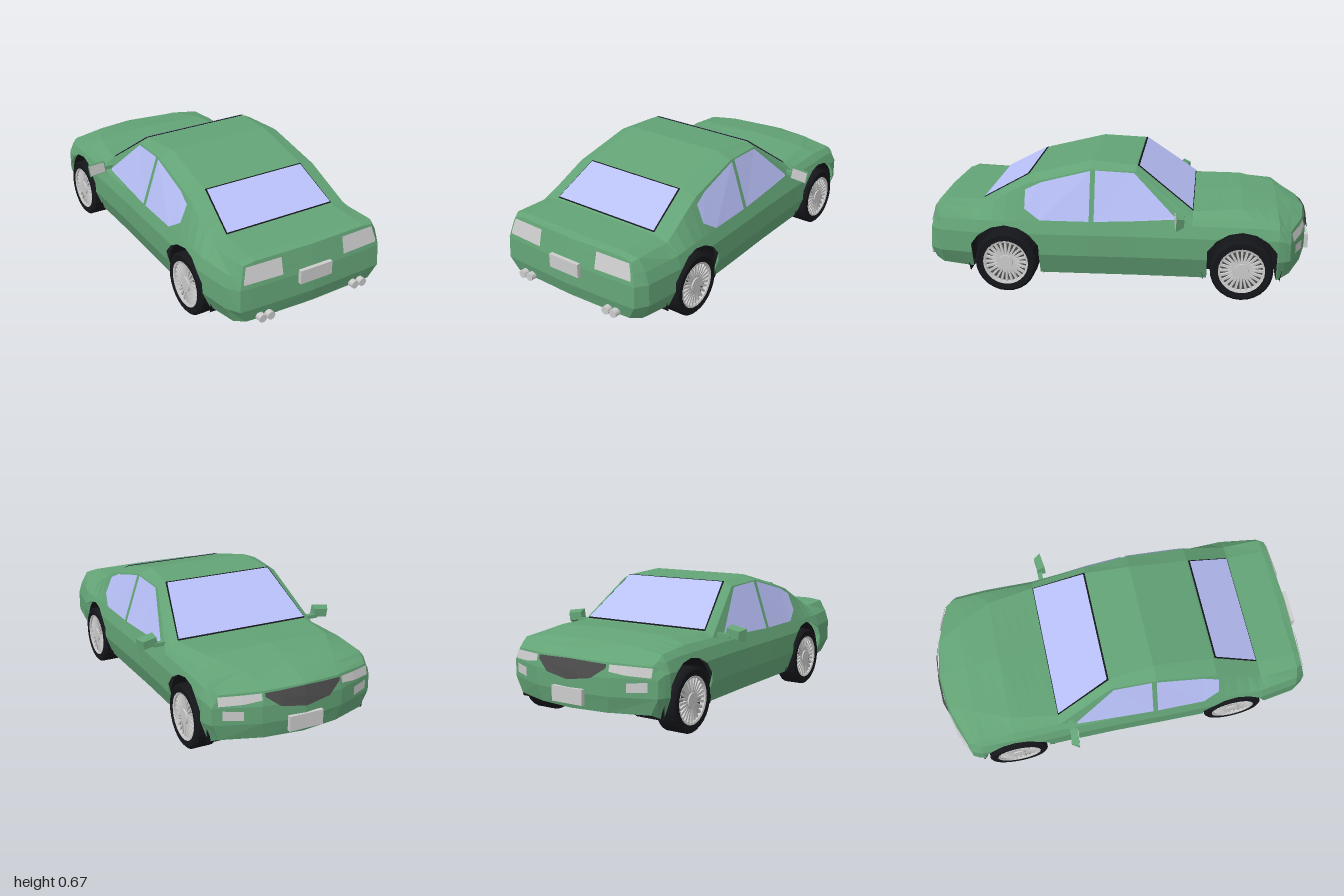
import * as THREE from 'three';

const mat = (color) => new THREE.MeshStandardMaterial({ color, flatShading: true, side: THREE.DoubleSide });
const paint = mat(0x63a376), glass = mat(0xb8c0f8), grey = mat(0xcccccc);
const black = mat(0x15161a), dark = mat(0x4c4c4c);
const V = (x, y, z) => new THREE.Vector3(x, y, z);
const clamp = THREE.MathUtils.clamp, lerp = THREE.MathUtils.lerp;

// Stations along the car: z, half width, sill y, edge x/y, inner x/y, centre y
const STATIONS = [
  [-0.99, 0.43, 0.13, 0.40, 0.355, 0.20, 0.365, 0.37],
  [-0.92, 0.445, 0.115, 0.41, 0.375, 0.215, 0.395, 0.40],
  [-0.82, 0.455, 0.10, 0.41, 0.40, 0.25, 0.425, 0.43],
  [-0.64, 0.46, 0.10, 0.41, 0.415, 0.33, 0.445, 0.457],
  [-0.39, 0.455, 0.10, 0.41, 0.41, 0.37, 0.435, 0.435],
  [-0.10, 0.455, 0.10, 0.345, 0.628, 0.30, 0.65, 0.65],
  [0.13, 0.46, 0.10, 0.355, 0.637, 0.28, 0.665, 0.665],
  [0.45, 0.465, 0.10, 0.37, 0.56, 0.285, 0.585, 0.585],
  [0.70, 0.47, 0.12, 0.39, 0.43, 0.31, 0.45, 0.45],
  [0.90, 0.44, 0.13, 0.385, 0.44, 0.31, 0.45, 0.45],
  [0.98, 0.40, 0.14, 0.37, 0.43, 0.31, 0.44, 0.44],
];
const WHEEL_Z = [-0.64, 0.56], WHEEL_Y = 0.158, ARCH_R = 0.2;

// Half section at z, from the sill up to the centre line
function section(z) {
  let i = 0;
  while (i < STATIONS.length - 2 && z > STATIONS[i + 1][0]) i++;
  const a = STATIONS[i], b = STATIONS[i + 1], t = (z - a[0]) / (b[0] - a[0]);
  const [, w, y0, ex, ey, ix, iy, cy] = a.map((v, k) => lerp(v, b[k], t));
  const belt = Math.min(0.38, ey - 0.03);
  return [[w - 0.04, y0], [w, 0.21], [w, Math.min(0.32, belt - 0.03)], [w * 0.955, belt],
    [ex, ey], [ix, iy], [0, cy]];
}

function xAt(pts, y) {
  let i = 0;
  while (i < pts.length - 2 && y > pts[i + 1][1]) i++;
  const [a, b] = [pts[i], pts[i + 1]];
  return lerp(a[0], b[0], (y - a[1]) / (b[1] - a[1]));
}

// Rounds nose and tail in plan and in profile
function bent(x, y, z) {
  const f = z < 0 ? clamp((-z - 0.82) / 0.17, 0, 1) : clamp((z - 0.9) / 0.08, 0, 1);
  const bow = (z < 0 ? 0.11 : 0.02) * (x / 0.43) ** 2 + 0.25 * Math.max(0, Math.abs(y - 0.25) - 0.04);
  return V(x, y, z - Math.sign(z) * f * bow);
}

// Surface through a grid of points
function surface(grid) {
  const pos = [];
  for (let i = 0; i < grid.length - 1; i++) {
    for (let j = 0; j < grid[i].length - 1; j++) {
      const a = grid[i][j], b = grid[i][j + 1], c = grid[i + 1][j + 1], d = grid[i + 1][j];
      for (const p of [a, b, c, a, c, d]) pos.push(p.x, p.y, p.z);
    }
  }
  const g = new THREE.BufferGeometry();
  g.setAttribute('position', new THREE.Float32BufferAttribute(pos, 3));
  g.computeVertexNormals();
  return g;
}

function add(parent, name, geometry, material, x = 0, y = 0, z = 0) {
  const m = new THREE.Mesh(geometry, material);
  m.name = name;
  m.position.set(x, y, z);
  parent.add(m);
  return m;
}

function addBody(car) {
  const archAt = (z) => {
    const c = WHEEL_Z.find((v) => Math.abs(z - v) < 0.174);
    return c === undefined ? 0 : WHEEL_Y + Math.sqrt(ARCH_R ** 2 - (z - c) ** 2);
  };
  const zs = STATIONS.map((s) => s[0]);
  for (const c of WHEEL_Z) {
    zs.push(c - 0.1745, c + 0.1745);
    for (let a = 30; a <= 150; a += 20) zs.push(c + ARCH_R * Math.cos(a * Math.PI / 180));
  }
  zs.sort((a, b) => a - b);

  // Shell with the wheel arches cut out, and the floor between the sills
  const shell = [], floor = [];
  for (const z of zs) {
    const pts = section(z), arch = archAt(z);
    const half = pts.map(([x, y]) => (y < arch ? [xAt(pts, arch), arch] : [x, y]));
    const left = half.map(([x, y]) => bent(x, y, z));
    const right = half.slice(0, -1).reverse().map(([x, y]) => bent(-x, y, z));
    shell.push([...left, ...right]);
    const fx = arch ? 0.27 : pts[0][0];
    floor.push([bent(-fx, pts[0][1], z), bent(fx, pts[0][1], z)]);
  }
  add(car, 'bodyShell', surface(shell), paint);
  add(car, 'floor', surface(floor), black);
  add(car, 'underTray', new THREE.BoxGeometry(0.53, 0.03, 1.5), black, 0, 0.1, -0.02);

  // Nose and tail faces
  for (const [name, z] of [['nosePanel', -0.99], ['tailPanel', 0.98]]) {
    const pts = section(z), f = pts[5][0] / pts[4][0];
    const cols = z < 0 ? [-1, -f, 0, f, 1] : [1, f, 0, -f, -1];
    const rows = pts.slice(0, 5).map(([x, y], k) => cols.map((c) => {
      const top = Math.abs(c) === 1 ? y : c ? pts[5][1] : pts[6][1];
      return bent(c * x, k === 4 ? top : y, z);
    }));
    add(car, name, surface(rows.reverse()), paint);
  }

  // Wheel wells
  for (const z of WHEEL_Z) {
    for (const s of [1, -1]) {
      const liner = new THREE.CylinderGeometry(ARCH_R, ARCH_R, 0.165, 18, 1, true, -0.3, Math.PI + 0.6);
      add(car, 'wheelWell', liner.rotateZ(Math.PI / 2), black, s * 0.352, WHEEL_Y, z);
      const wall = new THREE.CircleGeometry(ARCH_R, 18, -0.3, Math.PI + 0.6);
      add(car, 'wheelWellWall', wall.rotateY(Math.PI / 2), black, s * 0.27, WHEEL_Y, z);
    }
  }
}

function addGlass(car) {
  // Side windows: columns of z, bottom y, top y laid on the shell
  const sides = {
    rearSideWindow: [[0.46, 0.44, 0.53], [0.38, 0.387, 0.567], [0.13, 0.387, 0.63]],
    frontSideWindow: [[0.105, 0.387, 0.632], [-0.09, 0.395, 0.622], [-0.30, 0.408, 0.42]],
  };
  for (const [name, cols] of Object.entries(sides)) {
    for (const s of [1, -1]) {
      add(car, name, surface(cols.map(([z, lo, hi]) =>
        [lo, hi].map((y) => V(s * (xAt(section(z), y) + 0.005), y + 0.001, z)))), glass);
    }
  }
  // Windscreen and rear window, each over a dark seal
  const screen = (name, z0, z1, x0, x1, dz) => {
    const layer = (grow, lift) => surface([[z0, x0, -1], [z1, x1, 1]].map(([z, x, e]) => {
      const zz = z + e * Math.sign(z1 - z0) * grow;
      return [1, -1].map((s) => V(s * (x + grow), section(zz)[6][1] + lift, zz + dz * lift));
    }));
    add(car, name + 'Seal', layer(0.006, 0.003), black);
    add(car, name, layer(0, 0.006), glass);
  };
  screen('windscreen', -0.108, -0.382, 0.297, 0.362, -1);
  screen('rearWindow', 0.46, 0.685, 0.278, 0.303, 1);
}

function addTrim(car) {
  // Patches on the nose or tail: columns of x, bottom y, top y
  const patch = (name, cols, z, material, s = 1) => add(car, name,
    surface(cols.map(([x, lo, hi]) => [lo, (lo + hi) / 2, hi].map((y) =>
      bent(s * x, y, z).add(V(0, 0, Math.sign(z) * 0.006))))), material);
  for (const s of [1, -1]) {
    patch('headlight', [[0.215, 0.325, 0.357], [0.3, 0.312, 0.354], [0.405, 0.305, 0.348]], -0.99, grey, s);
    patch('fogLight', [[0.3, 0.235, 0.28], [0.39, 0.24, 0.285]], -0.99, grey, s);
    patch('tailLight', [[0.175, 0.345, 0.428], [0.362, 0.345, 0.425], [0.38, 0.345, 0.36]], 0.98, grey, s);
    for (const x of [0.247, 0.293]) {
      const pipe = new THREE.CylinderGeometry(0.021, 0.021, 0.13, 12).rotateX(Math.PI / 2);
      add(car, 'exhaustPipe', pipe, grey, s * x, 0.157, 0.925);
    }
  }
  patch('grille', [[-0.2, 0.34, 0.357], [-0.13, 0.29, 0.361], [0, 0.27, 0.366],
    [0.13, 0.29, 0.361], [0.2, 0.34, 0.357]], -0.99, dark);
  add(car, 'frontPlate', new THREE.BoxGeometry(0.18, 0.075, 0.02), grey, 0, 0.195, -0.99);
  add(car, 'rearPlate', new THREE.BoxGeometry(0.18, 0.07, 0.02), grey, 0, 0.31, 0.982);

  // Door mirrors
  for (const s of [1, -1]) {
    const mirror = new THREE.Group();
    mirror.name = 'doorMirror';
    const shape = new THREE.BoxGeometry(0.095, 0.068, 0.04);
    const p = shape.attributes.position;
    for (let i = 0; i < p.count; i++) {
      if (p.getZ(i) < 0) p.setXY(i, p.getX(i) * 0.8 - s * 0.008, p.getY(i) * 0.6);
    }
    add(mirror, 'mirrorHousing', shape, paint);
    add(mirror, 'mirrorGlass', new THREE.BoxGeometry(0.084, 0.058, 0.004), grey, 0, 0, 0.02);
    mirror.position.set(s * 0.506, 0.43, -0.328);
    mirror.rotation.set(0, s * 0.12, -s * 0.14);
    car.add(mirror);
    add(car, 'mirrorArm', new THREE.BoxGeometry(0.07, 0.02, 0.025), paint, s * 0.442, 0.417, -0.335);
  }
}

// Wheel built along y, with its outer face at +y
function makeWheel() {
  const wheel = new THREE.Group();
  wheel.name = 'wheel';
  const lathe = (pts) => new THREE.LatheGeometry(pts.map(([r, y]) => new THREE.Vector2(r, y)), 28);
  add(wheel, 'tyre', lathe([[0.116, -0.055], [0.147, -0.058], [0.158, -0.048], [0.158, 0.048],
    [0.147, 0.058], [0.116, 0.055], [0.116, -0.055]]), black);
  add(wheel, 'rimRing', lathe([[0.117, 0.03], [0.117, 0.057], [0.107, 0.054], [0.107, 0.03]]), grey);
  add(wheel, 'rimBack', lathe([[0, 0.03], [0.115, 0.03]]), dark);
  add(wheel, 'innerRim', lathe([[0, -0.01], [0.09, -0.01], [0.116, -0.05]]), grey);
  add(wheel, 'hub', new THREE.CylinderGeometry(0.036, 0.042, 0.03, 20), grey, 0, 0.04, 0);
  for (let i = 0; i < 24; i++) {
    const a = (i / 24) * Math.PI * 2;
    const spoke = add(wheel, 'spoke', new THREE.BoxGeometry(0.074, 0.014, 0.011), grey,
      0.074 * Math.cos(a), 0.042, -0.074 * Math.sin(a));
    spoke.rotation.y = a;
  }
  return wheel;
}

export function createModel() {
  const car = new THREE.Group();
  car.name = 'car';
  addBody(car);
  addGlass(car);
  addTrim(car);
  for (const z of WHEEL_Z) {
    for (const s of [1, -1]) {
      const wheel = makeWheel();
      wheel.rotation.z = -s * Math.PI / 2;
      wheel.position.set(s * 0.404, WHEEL_Y, z);
      car.add(wheel);
    }
  }
  return car;
}
